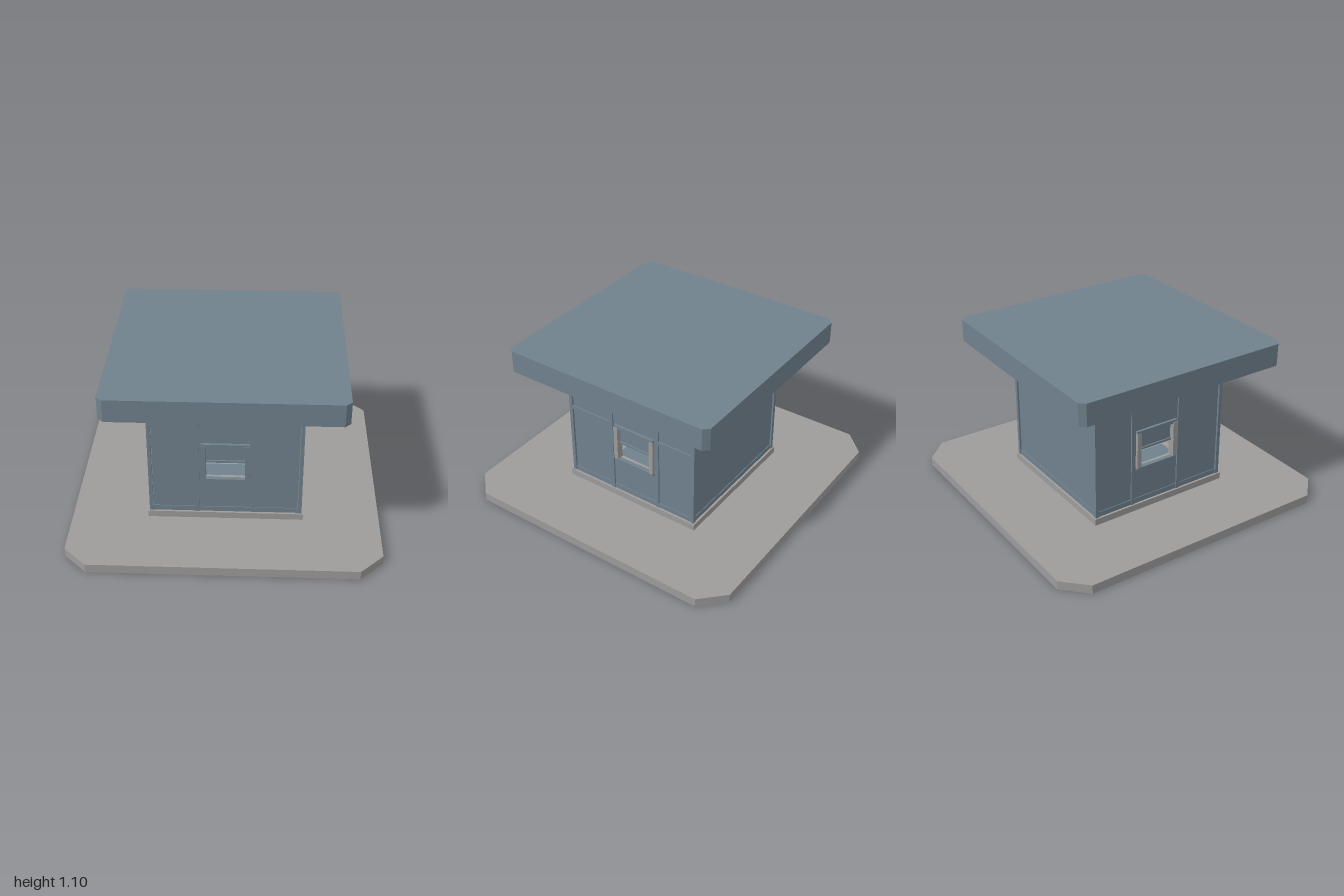
import * as THREE from 'three';

const blue = new THREE.MeshStandardMaterial({ color: 0x70818d });
blue.name = 'slate blue';
const grey = new THREE.MeshStandardMaterial({ color: 0x9d9c9b });
grey.name = 'concrete grey';

function add(parent, name, geometry, material) {
  const mesh = new THREE.Mesh(geometry, material);
  mesh.name = name;
  parent.add(mesh);
  return mesh;
}

// Box given by its limits on each axis
function box(parent, name, material, [x0, x1], [y0, y1], [z0, z1]) {
  const mesh = add(parent, name, new THREE.BoxGeometry(x1 - x0, y1 - y0, z1 - z0), material);
  mesh.position.set((x0 + x1) / 2, (y0 + y1) / 2, (z0 + z1) / 2);
  return mesh;
}

// Square slab with cut corners, standing between y0 and y1
function slab(parent, name, material, half, cut, y0, y1) {
  const a = half, b = half - cut;
  const corners = [[a, -b], [a, b], [b, a], [-b, a], [-a, b], [-a, -b], [-b, -a], [b, -a]];
  const shape = new THREE.Shape(corners.map(([x, y]) => new THREE.Vector2(x, y)));
  const geometry = new THREE.ExtrudeGeometry(shape, { depth: y1 - y0, bevelEnabled: false });
  geometry.rotateX(-Math.PI / 2);
  geometry.translate(0, y0, 0);
  return add(parent, name, geometry, material);
}

function rect(target, x0, x1, y0, y1) {
  target.moveTo(x0, y0);
  target.lineTo(x1, y0);
  target.lineTo(x1, y1);
  target.lineTo(x0, y1);
  target.closePath();
  return target;
}

// Flat sheet with an optional window opening
function sheet(parent, name, material, outer, hole, z, depth) {
  const shape = rect(new THREE.Shape(), ...outer);
  if (hole) shape.holes.push(rect(new THREE.Path(), ...hole));
  const geometry = new THREE.ExtrudeGeometry(shape, { depth, bevelEnabled: false });
  geometry.translate(0, 0, z);
  return add(parent, name, geometry, material);
}

// One wall facing +z, turned to its side afterwards
function wall({ name, angle, window, shift = 0, bars, jamb }) {
  const g = new THREE.Group();
  g.name = name;
  const w0 = shift - 0.14, w1 = shift + 0.14;
  const hole = window ? [w0, w1, 0.37, 0.62] : null;

  sheet(g, 'wallCore', grey, [-0.478, 0.478, 0.1, 0.87], hole, 0.455, 0.02);
  sheet(g, 'wallPanel', blue, [-0.468, 0.468, 0.105, 0.83], hole, 0.475, 0.01);
  box(g, 'bottomRail', blue, [-0.47, 0.47], [0.105, 0.14], [0.48, 0.49]);

  if (window) {
    // Mullions on both sides of the window bay
    for (const x of [shift - 0.18, shift + 0.18]) {
      box(g, 'mullion', blue, [x - 0.012, x + 0.012], [0.105, 0.83], [0.48, 0.495]);
    }
    // Window surround, fixed upper pane and inner counter
    for (const x of [w0 - 0.015, w1 - 0.015]) {
      box(g, 'windowJamb', jamb, [x, x + 0.03], [0.37, 0.62], [0.455, 0.506]);
    }
    box(g, 'windowHead', blue, [w0 - 0.015, w1 + 0.015], [0.61, 0.635], [0.47, 0.503]);
    box(g, 'windowSill', blue, [w0 - 0.015, w1 + 0.015], [0.355, 0.37], [0.47, 0.503]);
    box(g, 'upperPane', blue, [w0, w1], [0.49, 0.62], [0.462, 0.47]);
    box(g, 'paneRail', blue, [w0, w1], [0.483, 0.497], [0.458, 0.48]);
    box(g, 'counter', blue, [w0 - 0.03, w1 + 0.03], [0.35, 0.362], [0.32, 0.47]);
  }
  if (bars) {
    // Horizontal bars across the outer bays
    box(g, 'crossBar', blue, [-0.47, shift - 0.18], [0.615, 0.64], [0.48, 0.495]);
    box(g, 'crossBar', blue, [shift + 0.18, 0.47], [0.615, 0.64], [0.48, 0.495]);
  }
  g.rotation.y = angle;
  return g;
}

export function createModel() {
  const model = new THREE.Group();
  model.name = 'kiosk';

  // Ground slab and plinth
  slab(model, 'groundSlab', grey, 1, 0.15, 0, 0.06);
  box(model, 'plinth', grey, [-0.505, 0.505], [0.06, 0.105], [-0.505, 0.505]);

  // Four walls
  const quarter = Math.PI / 2;
  model.add(
    wall({ name: 'frontWall', angle: 0, window: true, jamb: blue }),
    wall({ name: 'leftWall', angle: quarter, window: true, shift: 0.03, bars: true, jamb: grey }),
    wall({ name: 'backWall', angle: 2 * quarter }),
    wall({ name: 'rightWall', angle: -quarter, window: true, shift: -0.03, jamb: grey })
  );

  // Corner posts
  for (const x of [-0.483, 0.483]) {
    for (const z of [-0.483, 0.483]) {
      box(model, 'cornerPost', blue, [x - 0.012, x + 0.012], [0.105, 0.86], [z - 0.012, z + 0.012]);
    }
  }

  // Collar and roof
  box(model, 'collar', blue, [-0.508, 0.508], [0.86, 0.952], [-0.508, 0.508]);
  slab(model, 'roof', blue, 0.75, 0.036, 0.95, 1.1);

  // Lights under the eaves, two on each side
  for (let side = 0; side < 4; side++) {
    const lights = new THREE.Group();
    lights.name = 'eavesLights';
    for (const x of [-0.35, 0.35]) {
      box(lights, 'eavesLight', grey, [x - 0.04, x + 0.04], [0.945, 0.951], [0.58, 0.66]);
    }
    lights.rotation.y = side * quarter;
    model.add(lights);
  }
  return model;
}
